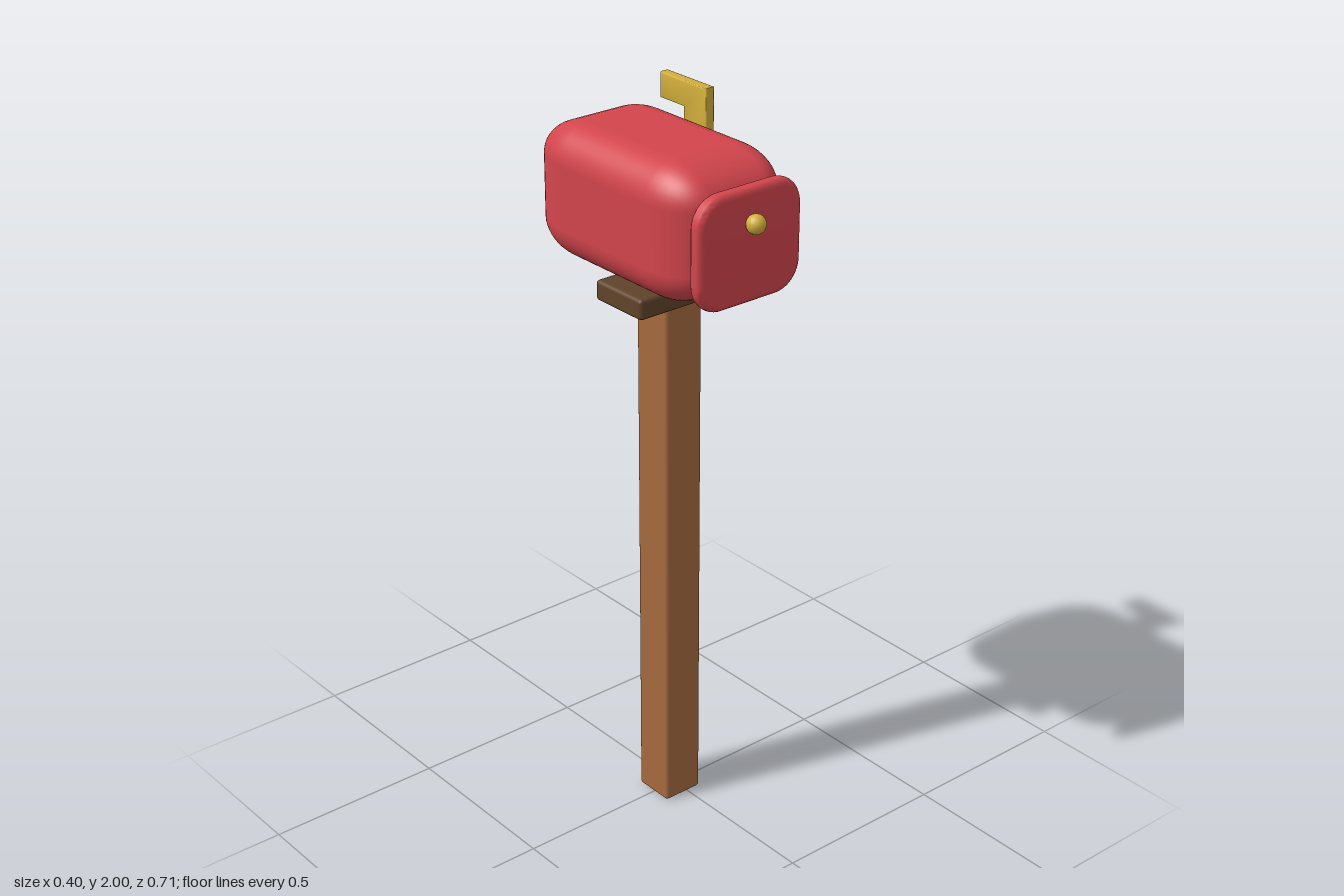
import * as THREE from 'three';
import { RoundedBoxGeometry } from 'three/addons/geometries/RoundedBoxGeometry.js';
import { toCreasedNormals } from 'three/addons/utils/BufferGeometryUtils.js';

const CX = -0.017; // centre line of post and box

function material(name, color) {
  const m = new THREE.MeshStandardMaterial({ color });
  m.name = name;
  return m;
}

// Rounded rectangle centred on the origin
function roundedRect(w, h, r) {
  const s = new THREE.Shape();
  const x = w / 2 - r, y = h / 2 - r;
  s.absarc(x, y, r, 0, Math.PI / 2);
  s.absarc(-x, y, r, Math.PI / 2, Math.PI);
  s.absarc(-x, -y, r, Math.PI, Math.PI * 1.5);
  s.absarc(x, -y, r, Math.PI * 1.5, Math.PI * 2);
  s.closePath();
  return s;
}

// Slab of the given thickness with rounded rims, centred in z
function bevelled(shape, thickness, bevel, segments) {
  const depth = thickness - 2 * bevel;
  const g = new THREE.ExtrudeGeometry(shape, {
    depth, bevelThickness: bevel, bevelSize: bevel, bevelOffset: -bevel,
    bevelSegments: segments, curveSegments: 6,
  });
  g.translate(0, 0, -depth / 2);
  return toCreasedNormals(g, 0.9);
}

export function createModel() {
  const group = new THREE.Group();
  group.name = 'mailbox';
  const red = material('red paint', 0xd2454c);
  const wood = material('post wood', 0xa56b3f);
  const darkWood = material('dark wood', 0x60432a);
  const gold = material('gold', 0xd2ae3b);

  function add(name, geometry, mat, x, y, z) {
    const mesh = new THREE.Mesh(geometry, mat);
    mesh.name = name;
    mesh.position.set(x, y, z);
    group.add(mesh);
    return mesh;
  }

  // Post and the plate on top of it
  add('post', new RoundedBoxGeometry(0.12, 1.515, 0.12, 2, 0.01), wood, CX, 0.7625, 0);
  add('plate', new RoundedBoxGeometry(0.336, 0.056, 0.182, 2, 0.01), darkWood, CX, 1.542, 0);

  // Soft box body, its rounding stretched along z
  const stretch = 1.5;
  const body = new RoundedBoxGeometry(0.367, 0.364, 0.628 / stretch, 5, 0.098);
  body.scale(1, 1, stretch);
  add('body', body, red, CX, 1.757, -0.041);

  // Door with its knob
  add('door', bevelled(roundedRect(0.336, 0.304, 0.08), 0.042, 0.02, 4), red, CX, 1.742, 0.291);
  add('knob', new THREE.SphereGeometry(0.026, 16, 12), gold, CX, 1.804, 0.328);

  // Raised flag on the left side
  const flag = new THREE.Shape([
    [0.079, 1.73], [0.168, 1.73], [0.168, 1.93], [0.262, 1.93], [0.262, 2], [0.079, 2],
  ].map(([u, y]) => new THREE.Vector2(u, y)));
  const flagGeometry = bevelled(flag, 0.03, 0.005, 2);
  flagGeometry.rotateY(Math.PI / 2);
  add('flag', flagGeometry, gold, 0.184, 0, 0);

  return group;
}
